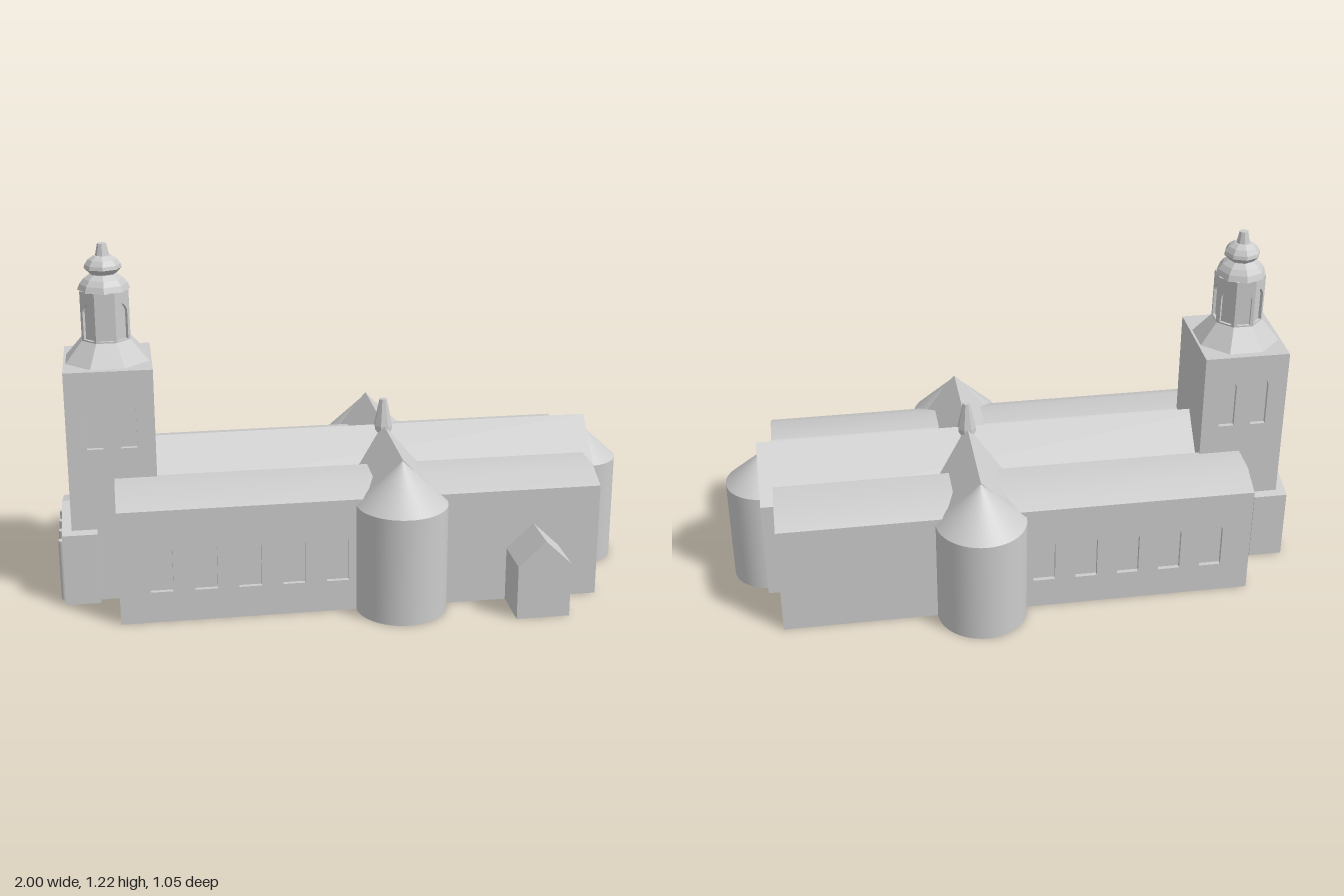
import * as THREE from 'three';
import { toCreasedNormals } from 'three/addons/utils/BufferGeometryUtils.js';

const stone = new THREE.MeshStandardMaterial({ color: 0xcccccc });
stone.name = 'pale grey stone';

export function createModel() {
  const model = new THREE.Group();
  model.name = 'church';
  const building = new THREE.Group();
  building.name = 'building';
  building.position.z = -0.003;
  model.add(building);

  const add = (name, geometry, x = 0, y = 0, z = 0, parent = building) => {
    const mesh = new THREE.Mesh(geometry, stone);
    mesh.name = name;
    mesh.position.set(x, y, z);
    parent.add(mesh);
    return mesh;
  };
  const outline = pts => new THREE.Shape(pts.map(p => new THREE.Vector2(p[0], p[1])));
  const extrude = (shape, depth) =>
    new THREE.ExtrudeGeometry(shape, { depth, bevelEnabled: false, curveSegments: 6 });
  // Cross-section given as [z, y], running along x
  const prismX = (pts, x0, x1) =>
    extrude(outline(pts.map(([z, y]) => [-z, y])), x1 - x0).rotateY(Math.PI / 2).translate(x0, 0, 0);
  // Cross-section given as [x, y], running along z
  const prismZ = (pts, z0, z1) => extrude(outline(pts), z1 - z0).translate(0, 0, z0);
  const gable = (c, half, eave, ridge) =>
    [[c - half, 0], [c + half, 0], [c + half, eave], [c, ridge], [c - half, eave]];
  // Pointed window opening
  const lancet = (x, half, sill, shoulder, tip) => {
    const p = new THREE.Path();
    const mid = shoulder + (tip - shoulder) * 0.65;
    p.moveTo(x - half, sill);
    p.lineTo(x + half, sill);
    p.lineTo(x + half, shoulder);
    p.quadraticCurveTo(x + half * 0.8, mid, x, tip);
    p.quadraticCurveTo(x - half * 0.8, mid, x - half, shoulder);
    return p;
  };
  const wall = (x0, x1, y0, y1, depth, holes) => {
    const s = outline([[x0, y0], [x1, y0], [x1, y1], [x0, y1]]);
    s.holes.push(...holes);
    return extrude(s, depth);
  };
  // Faceted eight-sided turning; turn = PI/8 puts flat sides on the axes
  const octagonal = (pts, turn) => {
    const g = new THREE.LatheGeometry(pts.map(p => new THREE.Vector2(p[0], p[1])), 8, turn).toNonIndexed();
    g.computeVertexNormals();
    return g;
  };
  const EIGHTH = Math.PI / 8, CORNER = 1 / Math.cos(EIGHTH);

  // Nave and transept with crossing gables
  add('nave', prismX(gable(0, 0.157, 0.365, 0.532), -0.8, 0.883));
  add('transept', prismZ(gable(0.148, 0.157, 0.365, 0.532), -0.37, 0.37));

  // Round apses with conical roofs
  const apse = (name, x, z, r, eave, tip) => {
    const g = new THREE.Group();
    g.name = name;
    g.position.set(x, 0, z);
    building.add(g);
    add('apseWall', new THREE.CylinderGeometry(r, r, eave, 48), 0, eave / 2, 0, g);
    add('apseRoof', new THREE.ConeGeometry(r, tip - eave, 48), 0, (eave + tip) / 2, 0, g);
  };
  apse('frontApse', 0.148, 0.368, 0.155, 0.378, 0.528);
  apse('backApse', 0.148, -0.368, 0.155, 0.378, 0.528);
  apse('eastApse', 0.873, 0, 0.127, 0.378, 0.492);

  // Side aisles with a row of recessed windows
  for (const s of [1, -1]) {
    const side = s > 0 ? 'front' : 'back';
    const section = [[0.12, 0], [0.355, 0], [0.355, 0.4], [0.37, 0.4], [0.275, 0.443], [0.155, 0.443], [0.12, 0.4]];
    add(side + 'Aisle', toCreasedNormals(prismX(section.map(([z, y]) => [s * z, y]), -0.8, 0.835), 0.6));
    const holes = [];
    for (let i = 0; i < 5; i++) holes.push(lancet(-0.66 + i * 0.1475, 0.038, 0.11, 0.255, 0.302));
    add(side + 'AisleWall', wall(-0.8, 0.835, 0, 0.4, 0.015, holes), 0, 0, s > 0 ? 0.355 : -0.37);
  }

  // Small gabled porch
  add('sidePorch', prismZ(gable(0.604, 0.091, 0.19, 0.277), 0.36, 0.529));

  // West portico with half-round columns
  add('portico', prismX(gable(0, 0.192, 0.255, 0.308), -0.984, -0.865));
  for (let i = 0; i < 4; i++)
    add('porticoColumn', new THREE.CylinderGeometry(0.015, 0.015, 0.218, 16), -0.985, 0.109, -0.135 + i * 0.09);

  // Square tower with paired windows on front and back
  add('towerCore', new THREE.BoxGeometry(0.295, 0.82, 0.3), -0.804, 0.41, 0);
  for (const z of [0.15, -0.165]) {
    const holes = [-0.858, -0.745].map(x => lancet(x, 0.027, 0.55, 0.705, 0.74));
    add('towerWall', wall(-0.9515, -0.6565, 0, 0.82, 0.015, holes), 0, 0, z);
  }

  // Octagonal lantern
  const lantern = new THREE.Group();
  lantern.name = 'lantern';
  lantern.position.set(-0.804, 0, 0);
  building.add(lantern);
  add('lanternSkirt', octagonal([[0.139 * CORNER, 0.82], [0.081 * CORNER, 0.892], [0, 0.892]], EIGHTH), 0, 0, 0, lantern);
  add('lanternCore', octagonal([[0.071 * CORNER, 0.88], [0.071 * CORNER, 1.06]], EIGHTH), 0, 0, 0, lantern);
  const half = 0.081 * Math.tan(EIGHTH);
  for (let i = 0; i < 8; i++) {
    const panel = wall(-half, half, 0.885, 1.062, 0.01, [lancet(0, 0.023, 0.897, 0.992, 1.022)]);
    panel.translate(0, 0, 0.071);
    add('lanternPanel', panel, 0, 0, 0, lantern).rotation.y = i * Math.PI / 4;
  }

  // Stepped dome and finial
  add('dome', octagonal([[0, 1.06], [0.088, 1.06], [0.08, 1.08], [0.066, 1.098], [0.045, 1.113],
    [0.045, 1.13]], 0), 0, 0, 0, lantern);
  add('upperDome', octagonal([[0.043, 1.113], [0.063, 1.133], [0.06, 1.145], [0.048, 1.162], [0.03, 1.174],
    [0, 1.178]], 0), 0, 0, 0, lantern);
  add('finial', octagonal([[0.024, 1.172], [0.015, 1.215], [0, 1.215]], 0), 0, 0, 0, lantern);

  // Small spire over the crossing
  add('crossingSpire', octagonal([[0.035, 0.49], [0.033, 0.53], [0.013, 0.626], [0, 0.626]], EIGHTH), 0.148, 0, 0);

  return model;
}
